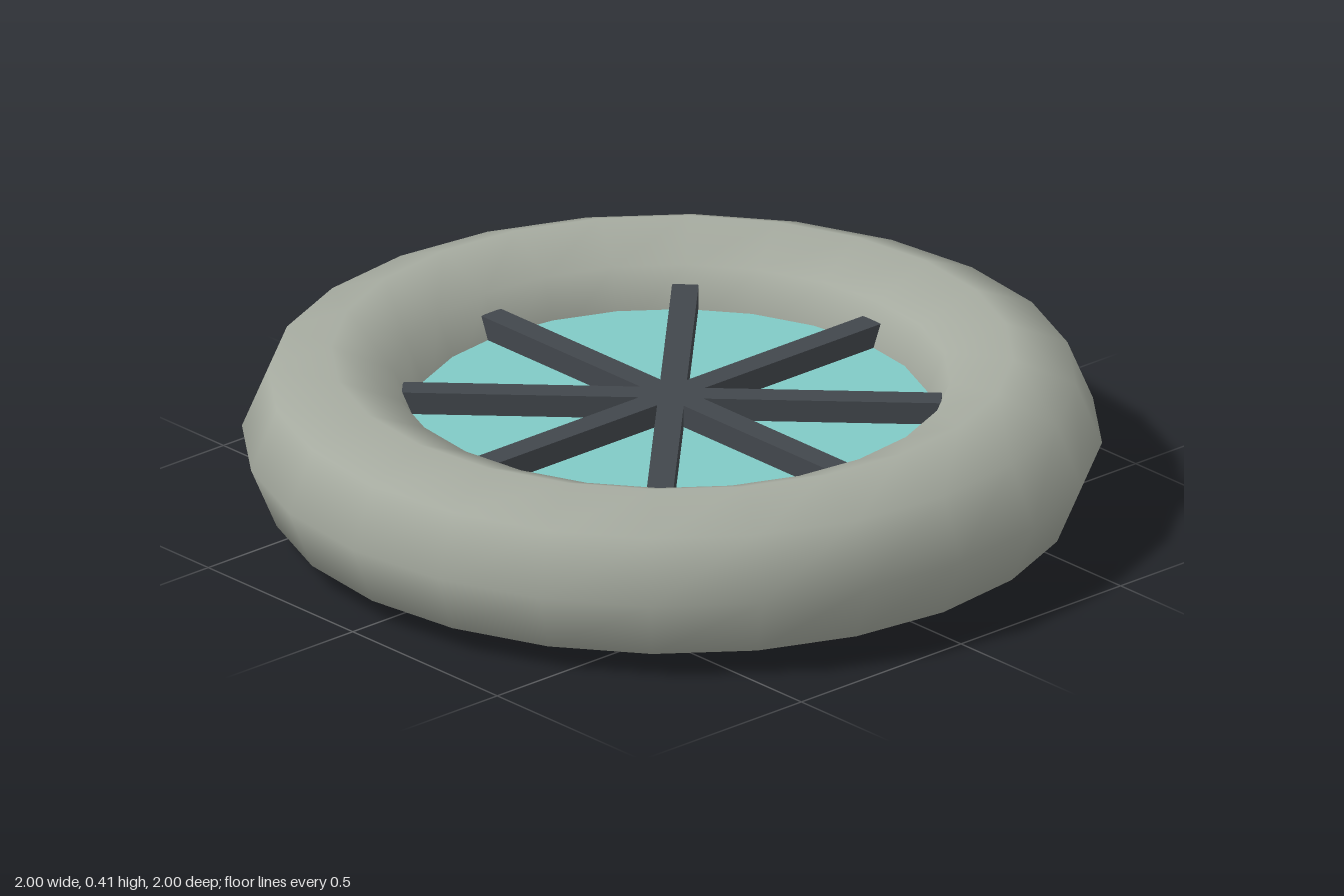
import * as THREE from 'three';

export function createModel() {
  const model = new THREE.Group();
  model.name = 'spokedRingPool';

  const stone = new THREE.MeshStandardMaterial({ color: 0xa6aba0 });
  stone.name = 'warm grey';
  const teal = new THREE.MeshStandardMaterial({ color: 0x80cac5 });
  teal.name = 'pale teal';
  const iron = new THREE.MeshStandardMaterial({ color: 0x42474c });
  iron.name = 'dark grey';

  const add = (name, geometry, material, y) => {
    const mesh = new THREE.Mesh(geometry, material);
    mesh.name = name;
    mesh.position.y = y;
    model.add(mesh);
    return mesh;
  };

  const SIDES = 24;
  const TUBE = 0.207;
  const RING = 1 - TUBE;

  // Outer ring, lying flat on the ground
  const ring = new THREE.TorusGeometry(RING, TUBE, 8, SIDES);
  ring.rotateX(Math.PI / 2);
  add('ring', ring, stone, TUBE);

  // Floor closing the ring from below, its rim hidden inside the tube
  const floorBottom = 0.026;
  const floorTop = 0.25;
  add('floor', new THREE.CylinderGeometry(0.75, 0.75, floorTop - floorBottom, SIDES), stone,
    (floorBottom + floorTop) / 2);

  // Thin coloured pane on the floor
  add('pane', new THREE.CylinderGeometry(0.7, 0.7, 0.008, SIDES), teal, floorTop + 0.004);

  // Four crossing bars make eight spokes
  for (let i = 0; i < 4; i++) {
    const bar = add('spokeBar', new THREE.BoxGeometry(1.254, 0.062, 0.062), iron, 0.281);
    bar.rotation.y = (i * Math.PI) / 4;
  }

  return model;
}
